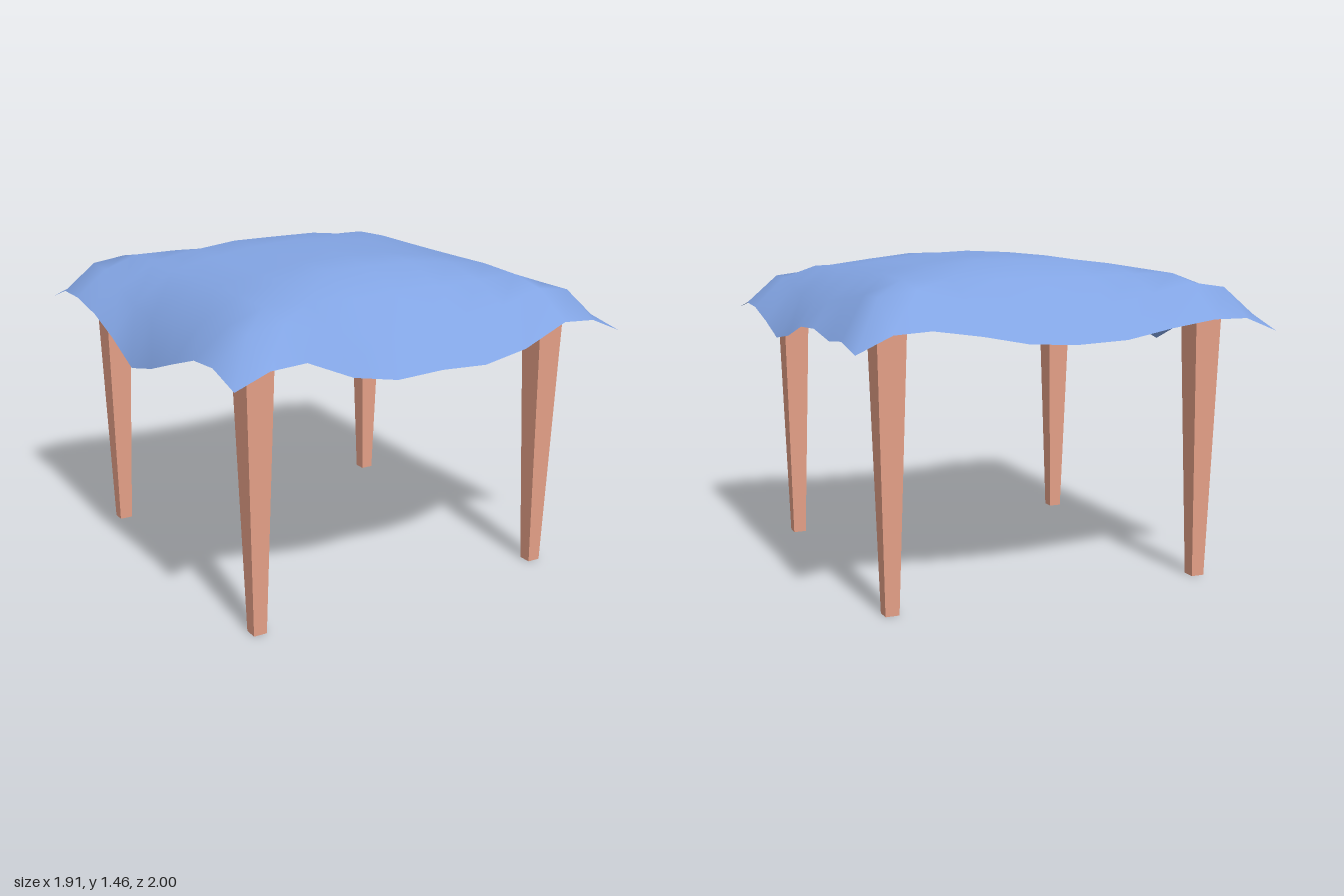
import * as THREE from 'three';

// Grid lines from the middle to the hem, and how far the cloth drops there
const XS = [0, 0.22, 0.43, 0.64, 0.8, 0.953];
const ZS = [0, 0.22, 0.43, 0.65, 0.82, 1];
const DROP_X = [0, 0.01, 0.04, 0.065, 0.125];
const DROP_Z = [0, 0, 0.015, 0.06, 0.095];

// Hem heights, listed from the negative end to the positive end
const HEM = {
  front: [1.16, 1.22, 1.23, 1.14, 1.1, 1.11, 1.1, 1.14, 1.23, 1.22, 1.155],
  back: [1.14, 1.2, 1.2, 1.17, 1.13, 1.12, 1.13, 1.17, 1.2, 1.19, 1.12],
  right: [1.14, 1.2, 1.2, 1.165, 1.1, 1.01, 1.06, 1.13, 1.2, 1.21, 1.16],
  left: [1.12, 1.155, 1.14, 1.17, 1.16, 1.1, 1.07, 1.13, 1.18, 1.19, 1.155],
};

// Sag between the legs: at the outer and inner grid line, and outward push
const SAG = {
  front: { outer: 0.14, inner: 0.04, push: 0.015 },
  back: { outer: 0.12, inner: 0.03, push: 0.015 },
  right: { outer: 0.11, inner: 0.015, push: 0.05 },
  left: { outer: 0.08, inner: 0.005, push: 0.035 },
};
const SAG_FADE = [1, 0.85, 0.5, 0.1, 0, 0];

function clothPoint(i, j) {
  const ai = Math.abs(i), aj = Math.abs(j);
  const sideX = i > 0 ? 'left' : 'right', sideZ = j > 0 ? 'front' : 'back';
  let x = XS[ai], z = ZS[aj], y;
  if (aj === 5) y = HEM[sideZ][i + 5];
  else if (ai === 5) y = HEM[sideX][j + 5];
  else {
    y = 1.457 - (DROP_X[ai] ** 4 + DROP_Z[aj] ** 4) ** 0.25;
    const sx = SAG[sideX], sz = SAG[sideZ];
    if (ai === 4) {
      y -= sx.outer * SAG_FADE[aj];
      x += sx.push * SAG_FADE[aj];
    }
    if (aj === 4) {
      y -= sz.outer * SAG_FADE[ai];
      z += sz.push * SAG_FADE[ai];
    }
    if (ai === 3) y -= sx.inner * SAG_FADE[aj];
    if (aj === 3) y -= sz.inner * SAG_FADE[ai];
  }
  return [Math.sign(i) * x, y, Math.sign(j) * z];
}

function clothGeometry() {
  const geo = new THREE.PlaneGeometry(2, 2, 10, 10);
  const pos = geo.attributes.position;
  for (let n = 0; n < pos.count; n++) {
    pos.setXYZ(n, ...clothPoint((n % 11) - 5, Math.floor(n / 11) - 5));
  }
  geo.computeVertexNormals();
  return geo;
}

// Square leg tapering towards the floor
function legGeometry() {
  const height = 1.29;
  const geo = new THREE.BoxGeometry(0.133, height, 0.133);
  geo.translate(0, height / 2, 0);
  const pos = geo.attributes.position;
  for (let n = 0; n < pos.count; n++) {
    if (pos.getY(n) < 0.01) {
      pos.setX(n, pos.getX(n) * 0.46);
      pos.setZ(n, pos.getZ(n) * 0.46);
    }
  }
  geo.computeVertexNormals();
  return geo;
}

export function createModel() {
  const group = new THREE.Group();
  group.name = 'coveredStool';

  // Draped cover
  const cover = new THREE.Mesh(
    clothGeometry(),
    new THREE.MeshStandardMaterial({ color: 0x82a4e3, side: THREE.DoubleSide }),
  );
  cover.name = 'clothCover';
  group.add(cover);

  // Four legs
  const legGeo = legGeometry();
  const legMat = new THREE.MeshStandardMaterial({ color: 0xe6a188 });
  for (const [x, xName] of [[0.738, 'Left'], [-0.738, 'Right']]) {
    for (const [z, zName] of [[0.738, 'front'], [-0.738, 'back']]) {
      const leg = new THREE.Mesh(legGeo, legMat);
      leg.name = `${zName}${xName}Leg`;
      leg.position.set(x, 0, z);
      group.add(leg);
    }
  }
  return group;
}
